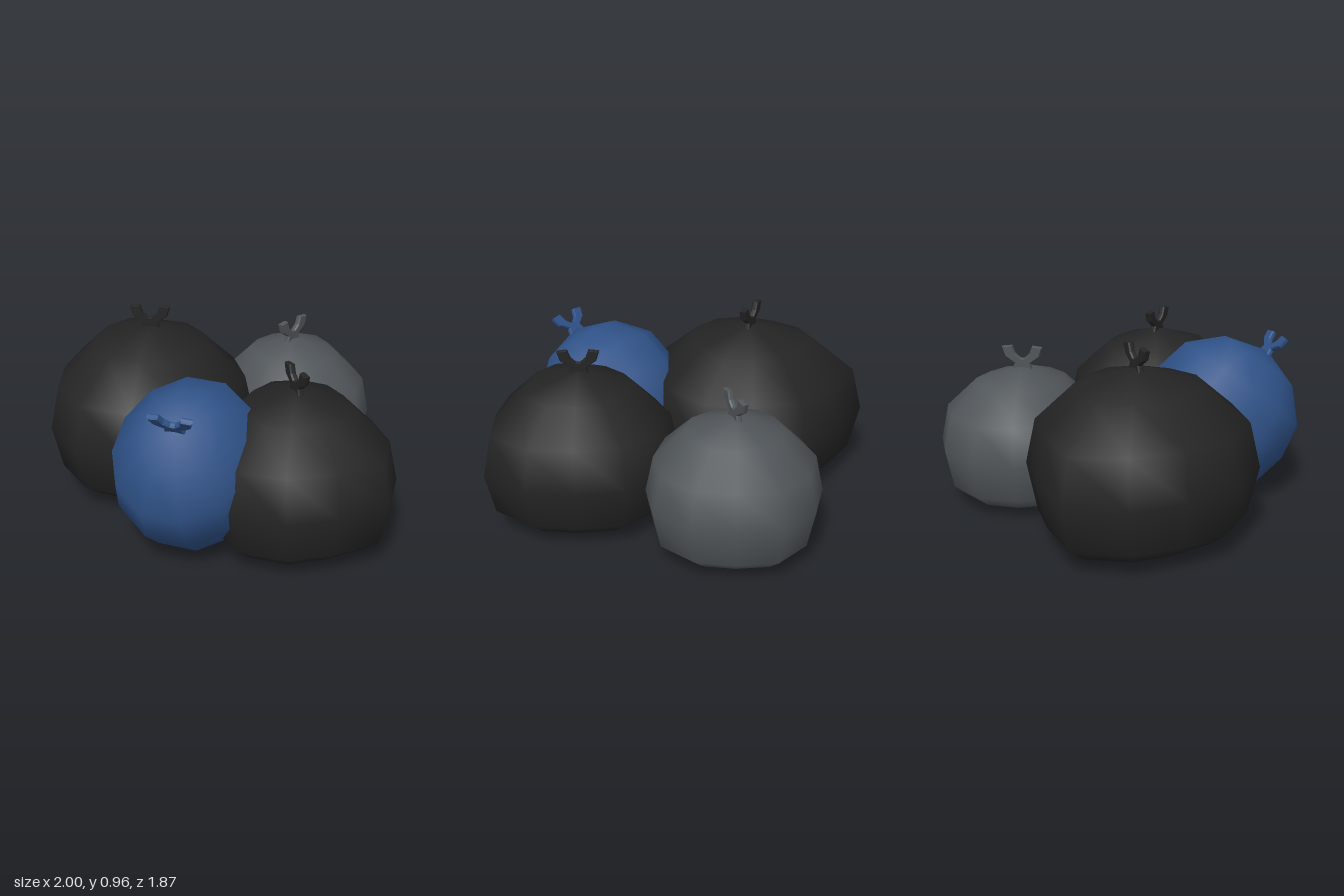
import * as THREE from 'three';
import { mergeVertices } from 'three/addons/utils/BufferGeometryUtils.js';

// Shared sack profile from knot to floor: [radius factor, height factor]
const PROFILE = [[0, 1], [0.55, 0.9], [0.91, 0.69], [1, 0.43], [0.91, 0.16], [0.74, 0.07], [0.44, 0.025], [0, 0.005]];

// Soft sack: one radius per spoke, swept down the shared profile
function sackGeometry(height, radii) {
  const pos = [], index = [], n = radii.length;
  for (const [s, h] of PROFILE) {
    radii.forEach((r, j) => {
      const angle = THREE.MathUtils.degToRad(10 + (360 * j) / n);
      pos.push(Math.cos(angle) * r * s, h * height, Math.sin(angle) * r * s);
    });
  }
  const last = PROFILE.length - 2;
  for (let i = 0; i <= last; i++) {
    for (let j = 0; j < n; j++) {
      const a = i * n + j, b = i * n + ((j + 1) % n);
      if (i > 0) index.push(a, b, a + n);
      if (i < last) index.push(b, b + n, a + n);
    }
  }
  const g = new THREE.BufferGeometry();
  g.setAttribute('position', new THREE.Float32BufferAttribute(pos, 3));
  g.setIndex(index);
  const merged = mergeVertices(g, 1e-4);
  merged.computeVertexNormals();
  return merged;
}

// Knotted top: a neck with two flared ears
function knotGeometry() {
  const half = [[0.05, -0.03], [0.035, 0.015], [0.085, 0.05], [0.1, 0.095], [0.055, 0.1], [0.04, 0.06], [0.012, 0.035]];
  const outline = [...half, ...half.map(([x, y]) => [-x, y]).reverse()];
  const shape = new THREE.Shape(outline.map(([x, y]) => new THREE.Vector2(x, y)));
  const g = new THREE.ExtrudeGeometry(shape, {
    depth: 0.014, bevelEnabled: true, bevelThickness: 0.008, bevelSize: 0.004, bevelSegments: 1,
  });
  g.translate(0, 0, -0.007);
  return g;
}

function makeBag(name, material, height, radii, knotTurn) {
  const bag = new THREE.Group();
  bag.name = name;
  const sack = new THREE.Mesh(sackGeometry(height, radii), material);
  sack.name = 'sack';
  const knot = new THREE.Mesh(knotGeometry(), material);
  knot.name = 'knot';
  knot.position.y = height;
  knot.rotation.y = knotTurn;
  bag.add(sack, knot);
  return bag;
}

export function createModel() {
  const model = new THREE.Group();
  model.name = 'garbageBags';
  const black = new THREE.MeshStandardMaterial({ color: 0x242424 });
  const grey = new THREE.MeshStandardMaterial({ color: 0x505559 });
  const blue = new THREE.MeshStandardMaterial({ color: 0x2f5288 });
  black.name = 'blackPlastic';
  grey.name = 'greyPlastic';
  blue.name = 'bluePlastic';

  // Three bags standing on the floor
  const large = makeBag('largeBlackBag', black, 0.86,
    [0.54, 0.54, 0.585, 0.59, 0.555, 0.515, 0.557, 0.61, 0.513, 0.528, 0.51, 0.54], 0.37);
  large.position.set(-0.45, 0, 0);

  const medium = makeBag('mediumBlackBag', black, 0.79,
    [0.53, 0.465, 0.486, 0.503, 0.466, 0.437, 0.449, 0.495, 0.495, 0.483, 0.45, 0.489], -0.68);
  medium.position.set(0.48, 0, 0.235);

  const small = makeBag('greyBag', grey, 0.71,
    [0.444, 0.425, 0.42, 0.392, 0.392, 0.412, 0.412, 0.43, 0.434, 0.437, 0.4, 0.424], 1.3);
  small.position.set(0.12, 0, -0.51);

  // Bag leaning forward on the others
  const half = [0.37, 0.385, 0.405, 0.41, 0.395, 0.375];
  const leaning = makeBag('blueBag', blue, 0.71, [...half, ...half], 0.15);
  leaning.position.set(0.03, 0.19, 0.33);
  leaning.rotation.set(0.67, 0, -0.14);

  model.add(large, medium, small, leaning);
  return model;
}
